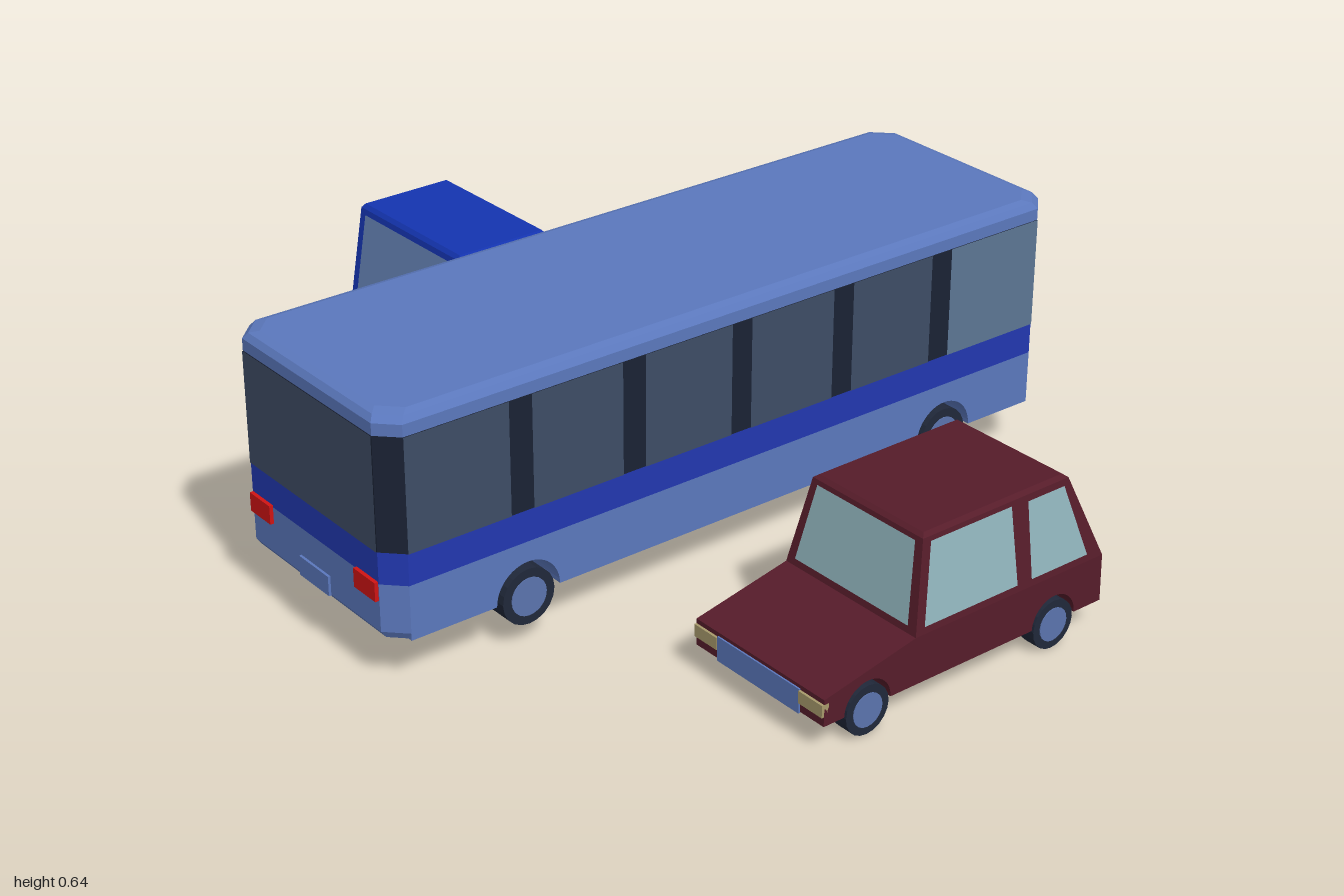
import * as THREE from 'three';

const mat = (color) => new THREE.MeshStandardMaterial({ color, flatShading: true });
const M = {
  busBlue: mat(0x5b78bd), stripe: mat(0x2238b0), darkGlass: mat(0x3e4d65), paleGlass: mat(0x5c7694),
  pillar: mat(0x1a2234), tyre: mat(0x20283a), hub: mat(0x5b74ae), red: mat(0xd01414), lamp: mat(0xa89a6c),
  maroon: mat(0x561c2a), carGlass: mat(0x90b4bc), truckBlue: mat(0x1434b0), truckGlass: mat(0x6482b4),
};

function add(group, name, geometry, material) {
  const mesh = new THREE.Mesh(geometry, material);
  mesh.name = name;
  group.add(mesh);
  return mesh;
}

function box(group, name, material, x0, x1, y0, y1, z0, z1) {
  add(group, name, new THREE.BoxGeometry(x1 - x0, y1 - y0, z1 - z0), material)
    .position.set((x0 + x1) / 2, (y0 + y1) / 2, (z0 + z1) / 2);
}

// Closed solid through rings of points, each counter-clockwise seen from above
function loft(rings) {
  const pos = [];
  const tri = (...pts) => pts.forEach((p) => pos.push(...p));
  const n = rings[0].length;
  for (let r = 0; r + 1 < rings.length; r++) {
    for (let i = 0; i < n; i++) {
      const j = (i + 1) % n, lo = rings[r], hi = rings[r + 1];
      tri(lo[i], lo[j], hi[j]);
      tri(lo[i], hi[j], hi[i]);
    }
  }
  const top = rings[rings.length - 1], bottom = rings[0];
  for (let i = 1; i + 1 < n; i++) {
    tri(top[0], top[i], top[i + 1]);
    tri(bottom[0], bottom[i + 1], bottom[i]);
  }
  const g = new THREE.BufferGeometry();
  g.setAttribute('position', new THREE.Float32BufferAttribute(pos, 3));
  g.computeVertexNormals();
  return g;
}

const rectRing = (hw, y, z0, z1) => [[hw, y, z1], [hw, y, z0], [-hw, y, z0], [-hw, y, z1]];
const octRing = (hw, hl, c, y) => [[hw - c, y, hl], [hw, y, hl - c], [hw, y, c - hl], [hw - c, y, -hl],
  [c - hw, y, -hl], [-hw, y, c - hl], [-hw, y, hl - c], [c - hw, y, hl]];

// Pane on side `i` of a two-ring loft; uv corners run counter-clockwise from lower left
function pane(group, name, material, lo, hi, i, uv) {
  const v = (p) => new THREE.Vector3(...p);
  const j = (i + 1) % lo.length;
  const [a, b, c, d] = [lo[i], lo[j], hi[j], hi[i]].map(v);
  const out = b.clone().sub(a).cross(d.clone().sub(a)).setLength(0.002);
  const p = uv.map(([s, t]) => a.clone().lerp(b, s).lerp(d.clone().lerp(c, s), t).add(out));
  const g = new THREE.BufferGeometry().setFromPoints([p[0], p[1], p[2], p[0], p[2], p[3]]);
  g.computeVertexNormals();
  add(group, name, g, material);
}
const uvRect = (s0, s1, t0 = 0, t1 = 1) => [[s0, t0], [s1, t0], [s1, t1], [s0, t1]];

// Side profile in (z, y) with wheel arches in its underside, extruded from x0 to x1
function sideSolid(z0, z1, y0, arches, top, x0, x1) {
  const s = new THREE.Shape();
  s.moveTo(z0, y0);
  for (const [z, r] of arches) {
    s.lineTo(z - r, y0);
    s.absarc(z, y0, r, Math.PI, 0, true);
  }
  s.lineTo(z1, y0);
  top.forEach(([z, y]) => s.lineTo(z, y));
  const g = new THREE.ExtrudeGeometry(s, { depth: x1 - x0, bevelEnabled: false, curveSegments: 12 });
  return g.rotateY(-Math.PI / 2).translate(x1, 0, 0);
}

function wheels(group, zs, y, r, outer, width) {
  for (const z of zs) for (const side of [1, -1]) {
    const wheel = new THREE.Group();
    wheel.name = 'wheel';
    add(wheel, 'tyre', new THREE.CylinderGeometry(r, r, width, 20).rotateZ(Math.PI / 2), M.tyre);
    add(wheel, 'hub', new THREE.CylinderGeometry(r * 0.68, r * 0.68, width + 0.004, 20).rotateZ(Math.PI / 2), M.hub);
    wheel.position.set(side * (outer - width / 2), y, z);
    group.add(wheel);
  }
}

// Pair of lamps mirrored across the vehicle
function lamps(group, name, material, x0, x1, y0, y1, z0, z1) {
  box(group, name, material, x0, x1, y0, y1, z0, z1);
  box(group, name, material, -x1, -x0, y0, y1, z0, z1);
}

function createBus() {
  const bus = new THREE.Group();
  bus.name = 'bus';
  const hw = 0.292, hl = 0.927, c = 0.045, zc = hl - c;
  // Lower body with see-through wheel arches, and chamfered ends
  add(bus, 'lowerBody', sideSolid(-zc, zc, 0.12, [[-0.61, 0.082], [0.585, 0.082]],
    [[zc, 0.25], [-zc, 0.25]], -hw, hw), M.busBlue);
  const endRing = (y, inset) => [[hw - c, y, hl - inset], [hw - inset, y, zc], [inset - hw, y, zc], [c - hw, y, hl - inset]];
  for (const turn of [0, Math.PI]) {
    add(bus, 'lowerEnd', loft([endRing(0.12, 0.012), endRing(0.137, 0), endRing(0.25, 0)]).rotateY(turn), M.busBlue);
  }
  const oct = (y, inset = 0) => octRing(hw - inset, hl - inset, c, y);
  add(bus, 'stripe', loft([oct(0.25), oct(0.325)]), M.stripe);
  const lo = oct(0.325), hi = oct(0.592);
  add(bus, 'windowPillars', loft([lo, hi]), M.pillar);
  add(bus, 'roof', loft([oct(0.592), oct(0.62), oct(0.634, 0.01), oct(0.64, 0.028)]), M.busBlue);

  // Side windows between pillars, the foremost one paler
  const spans = [[0.882, 0.625], [0.567, 0.332], [0.272, 0.035], [-0.02, -0.255], [-0.313, -0.55], [-0.61, -0.882]];
  spans.forEach(([a, b], k) => {
    const s0 = (zc - a) / (2 * zc), s1 = (zc - b) / (2 * zc);
    const glass = k === 5 ? M.paleGlass : M.darkGlass;
    pane(bus, 'sideWindow', glass, lo, hi, 1, uvRect(s0, s1));
    pane(bus, 'sideWindow', glass, lo, hi, 5, uvRect(1 - s1, 1 - s0));
  });
  pane(bus, 'rearWindow', M.darkGlass, lo, hi, 7, uvRect(0, 1));
  pane(bus, 'windscreen', M.paleGlass, lo, hi, 3, uvRect(0, 1));
  for (const i of [2, 4]) pane(bus, 'frontPillar', M.busBlue, lo, hi, i, uvRect(0, 1));

  lamps(bus, 'tailLight', M.red, 0.165, 0.245, 0.21, 0.255, hl - 0.01, hl + 0.009);
  lamps(bus, 'headlight', M.lamp, 0.155, 0.24, 0.15, 0.188, -hl - 0.009, -hl + 0.01);
  box(bus, 'rearPlate', M.busBlue, -0.057, 0.057, 0.135, 0.182, hl - 0.01, hl + 0.006);
  box(bus, 'frontPlate', M.busBlue, -0.057, 0.057, 0.135, 0.182, -hl - 0.006, -hl + 0.01);
  wheels(bus, [-0.61, 0.585], 0.117, 0.067, hw, 0.058);
  bus.position.set(0.008, 0, -0.006);
  bus.rotation.y = -0.0085;
  return bus;
}

function createCar() {
  const car = new THREE.Group();
  car.name = 'hatchback';
  const hw = 0.2;
  add(car, 'body', sideSolid(-0.417, 0.373, 0.065, [[-0.275, 0.063], [0.255, 0.063]],
    [[0.373, 0.128], [0.128, 0.178], [-0.414, 0.178]], -hw, hw), M.maroon);
  // Tapered cabin with inset-looking glass
  const lo = rectRing(hw, 0.178, -0.414, 0.128), hi = rectRing(0.167, 0.38, -0.328, 0.088);
  add(car, 'cabin', loft([lo, hi]), M.maroon);
  add(car, 'roof', loft([hi, rectRing(0.157, 0.388, -0.318, 0.078)]), M.maroon);
  const front = [[0.04, 0.08], [0.537, 0.08], [0.59, 0.95], [0.05, 0.95]];
  const rear = [[0.615, 0.08], [0.925, 0.08], [0.95, 0.93], [0.7, 0.93]];
  const flip = (uv) => [1, 0, 3, 2].map((k) => [1 - uv[k][0], uv[k][1]]);
  for (const uv of [front, rear]) {
    pane(car, 'sideWindow', M.carGlass, lo, hi, 0, uv);
    pane(car, 'sideWindow', M.carGlass, lo, hi, 2, flip(uv));
  }
  pane(car, 'rearWindow', M.carGlass, lo, hi, 1, uvRect(0.06, 0.94, 0.08, 0.94));
  pane(car, 'windscreen', M.carGlass, lo, hi, 3, uvRect(0.06, 0.94, 0.08, 0.95));
  lamps(car, 'headlight', M.lamp, 0.128, 0.2, 0.088, 0.117, 0.36, 0.379);
  box(car, 'grille', M.busBlue, -0.128, 0.128, 0.062, 0.12, 0.36, 0.377);
  lamps(car, 'tailLight', M.red, 0.13, 0.19, 0.132, 0.165, -0.424, -0.41);
  box(car, 'rearPlate', M.busBlue, -0.05, 0.05, 0.1, 0.14, -0.422, -0.41);
  wheels(car, [-0.275, 0.255], 0.058, 0.058, hw, 0.042);
  car.position.x = 0.8;
  return car;
}

function createPickup() {
  const truck = new THREE.Group();
  truck.name = 'pickup';
  const hw = 0.2125, rim = 0.19, floor = 0.09, bedZ = -0.143, rearZ = -0.385;
  const nose = [[0.403, 0.143], [0.18, rim]];
  const frontArch = [0.3, 0.064], arches = [[rearZ, 0.064], frontArch];
  // Bed floor and cab base across the middle
  add(truck, 'core', sideSolid(-0.648, 0.403, 0.065, [frontArch],
    [...nose, [bedZ, rim], [bedZ, floor], [-0.648, floor]], -0.165, 0.165), M.truckBlue);
  // Wheel humps rising from the bed floor, then the outer walls
  const hump = [];
  for (let k = 0; k <= 6; k++) {
    const a = 0.32 + (Math.PI - 0.64) * k / 6;
    hump.push([rearZ + 0.079 * Math.cos(a), 0.065 + 0.079 * Math.sin(a)]);
  }
  const strip = [...nose, [bedZ, rim], [bedZ, floor], ...hump, [-0.648, floor]];
  for (const s of [1, -1]) {
    const span = (a, b) => (s > 0 ? [a, b] : [-b, -a]);
    add(truck, 'wheelHump', sideSolid(-0.648, 0.403, 0.065, arches, strip, ...span(0.165, 0.1925)), M.truckBlue);
    add(truck, 'sideWall', sideSolid(-0.648, 0.403, 0.065, arches,
      [...nose, [-0.648, rim]], ...span(0.1925, hw)), M.truckBlue);
  }
  box(truck, 'tailgate', M.truckBlue, -0.1925, 0.1925, floor, rim, -0.648, -0.628);
  // Cab
  const lo = rectRing(hw, rim, -0.122, 0.18), hi = rectRing(hw - 0.004, 0.462, -0.122, 0.135);
  add(truck, 'cab', loft([lo, hi]), M.truckBlue);
  add(truck, 'cabRoof', loft([hi, rectRing(hw - 0.012, 0.472, -0.114, 0.127)]), M.truckBlue);
  for (let i = 0; i < 4; i++) {
    const edge = i % 2 ? 0.055 : 0.08;
    pane(truck, ['sideWindow', 'rearWindow', 'sideWindow', 'windscreen'][i], M.truckGlass, lo, hi, i,
      uvRect(edge, 1 - edge, 0.03, 0.95));
  }
  lamps(truck, 'headlight', M.lamp, 0.144, 0.2125, 0.107, 0.14, 0.39, 0.409);
  box(truck, 'grille', M.busBlue, -0.144, 0.144, 0.064, 0.137, 0.39, 0.407);
  lamps(truck, 'tailLight', M.red, 0.152, 0.21, 0.145, 0.18, -0.655, -0.64);
  wheels(truck, [rearZ, 0.3], 0.058, 0.058, hw, 0.042);
  truck.position.x = -0.7875;
  return truck;
}

export function createModel() {
  const model = new THREE.Group();
  model.name = 'vehicles';
  model.add(createBus(), createCar(), createPickup());
  return model;
}
